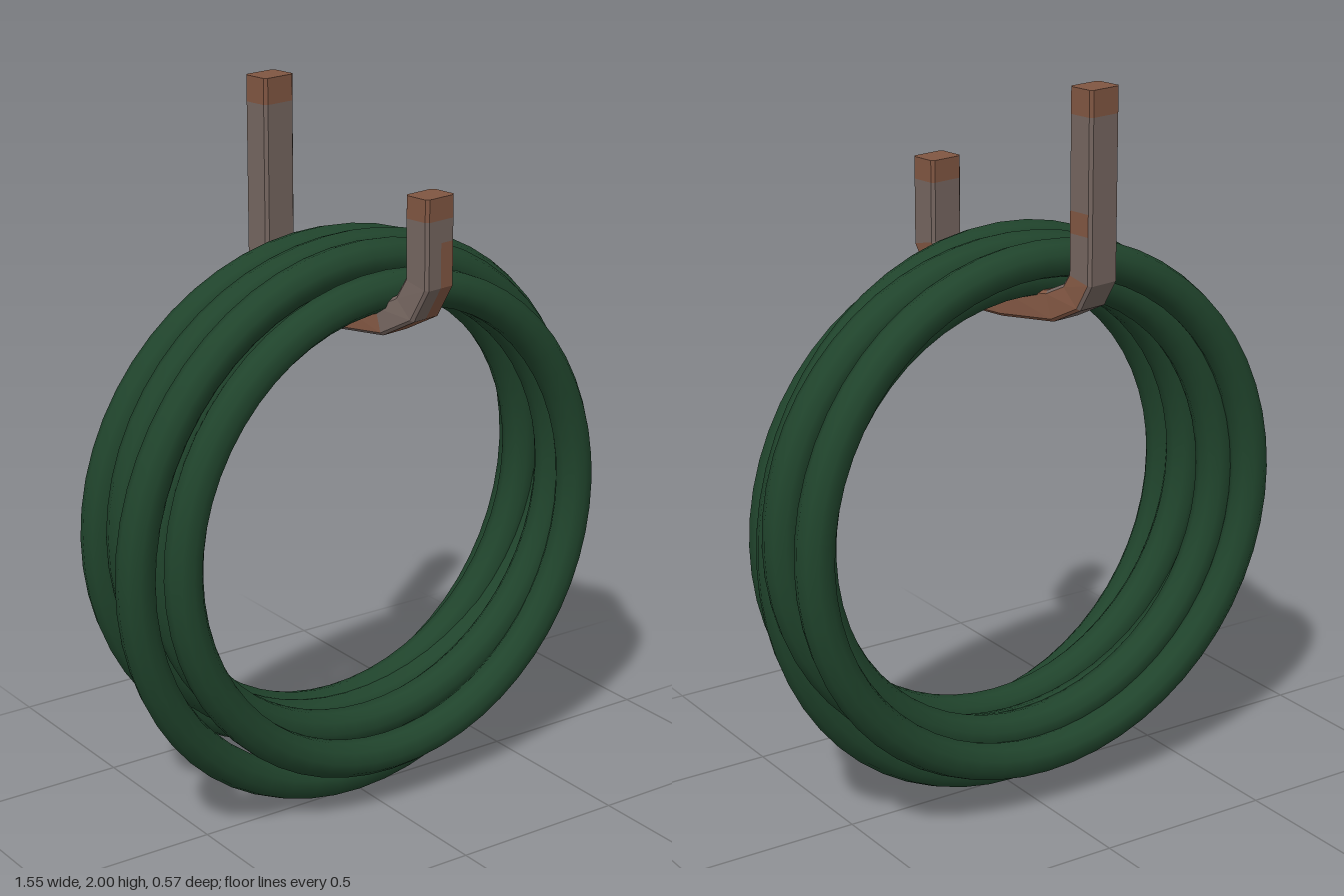
import * as THREE from 'three';

const hoseGreen = new THREE.MeshStandardMaterial({ color: 0x20442c });
hoseGreen.name = 'hose green';
const agedIron = new THREE.MeshStandardMaterial({ color: 0x74655f });
agedIron.name = 'aged iron';
const rust = new THREE.MeshStandardMaterial({ color: 0x805642 });
rust.name = 'rust';

// Closed loop through its left, right, top and bottom extremes; z sways along the loop
class LoopCurve extends THREE.Curve {
  constructor(x, y, z) {
    super();
    Object.assign(this, { x, y, z });
  }
  getPoint(t, target = new THREE.Vector3()) {
    const a = t * Math.PI * 2, c = Math.cos(a), s = Math.sin(a);
    const [x0, x1] = this.x, [y0, y1] = this.y, [l, r, b, top] = this.z;
    return target.set(
      (x0 + x1) / 2 + c * (x1 - x0) / 2,
      (y0 + y1) / 2 + s * (y1 - y0) / 2,
      (l + r + b + top) / 4 + c * (r - l) / 2 + s * (top - b) / 2 + Math.cos(2 * a) * (l + r - top - b) / 4
    );
  }
}

const TUBE = 0.052;
// Outer extents in x and y, then z at left, right, bottom, top
const LOOPS = [
  // outer loops, front to back
  { x: [-0.68, 0.72], y: [0.10, 1.53], z: [0.118, 0.112, 0.118, 0.118] },
  { x: [-0.78, 0.755], y: [0.0, 1.6], z: [0.045, 0.01, 0.0, 0.045] },
  { x: [-0.73, 0.775], y: [0.15, 1.6], z: [-0.08, -0.06, -0.08, -0.055] },
  { x: [-0.75, 0.75], y: [0.10, 1.595], z: [-0.18, -0.18, -0.182, -0.15] },
  // inner loops nested in the gaps
  { x: [-0.685, 0.705], y: [0.16, 1.535], z: [0.03, 0.035, 0.03, 0.03] },
  { x: [-0.685, 0.705], y: [0.16, 1.535], z: [-0.11, -0.11, -0.12, -0.09] },
];

function createHose() {
  const hose = new THREE.Group();
  hose.name = 'coiledHose';
  LOOPS.forEach(({ x, y, z }, i) => {
    const inset = ([lo, hi]) => [lo + TUBE, hi - TUBE];
    const curve = new LoopCurve(inset(x), inset(y), z);
    const loop = new THREE.Mesh(new THREE.TubeGeometry(curve, 56, TUBE, 10, true), hoseGreen);
    loop.name = `hoseLoop${i + 1}`;
    hose.add(loop);
  });
  return hose;
}

// Hook centre line as [z, y], from the back tip under the coil to the front tip
const PATH = [
  [-0.24, 2], [-0.24, 1.93], [-0.24, 1.68], [-0.24, 1.62], [-0.24, 1.5], [-0.215, 1.45], [-0.15, 1.415],
  [0, 1.402], [0.13, 1.408], [0.205, 1.45], [0.24, 1.52], [0.24, 1.63], [0.24, 1.69], [0.24, 1.75],
];
const W = 0.051, H = 0.041, C = 0.008;
// Chamfered bar section: [sideways, outward]
const SECTION = [
  [W, C - H], [W, H - C], [W - C, H], [0, H], [C - W, H],
  [-W, H - C], [-W, C - H], [C - W, -H], [W - C, -H],
];
// Rusted faces of each path segment (section edge numbers)
const ALL = [0, 1, 2, 3, 4, 5, 6, 7, 8];
const RUST = {
  0: ALL, 2: [0], 4: [0, 7], 5: [0, 1, 5, 6, 7], 6: [0, 1, 2, 6, 7, 8], 7: [0, 1, 2, 5, 6, 7, 8],
  8: [0, 1, 2, 3, 8], 9: [0, 1, 2], 10: [1, 2], 12: ALL,
};

function createHook() {
  const yaw = 0.15;
  const side = new THREE.Vector3(Math.cos(yaw), 0, -Math.sin(yaw));
  const ahead = new THREE.Vector3(Math.sin(yaw), 0, Math.cos(yaw));
  const direction = (i) => new THREE.Vector2(PATH[i + 1][0] - PATH[i][0], PATH[i + 1][1] - PATH[i][1]).normalize();
  const last = PATH.length - 1;

  // Mitred section at each path point
  const rings = PATH.map(([z, y], i) => {
    const before = direction(Math.max(i - 1, 0)), after = direction(Math.min(i, last - 1));
    const t = before.clone().add(after).normalize();
    const mitre = 1 / t.dot(after);
    const out = ahead.clone().multiplyScalar(t.y).add(new THREE.Vector3(0, -t.x, 0)).multiplyScalar(mitre);
    return SECTION.map(([a, b]) =>
      new THREE.Vector3(0.35 * z - 0.028, y, z).addScaledVector(side, a).addScaledVector(out, b));
  });

  const triangles = [[], []];
  const n = SECTION.length;
  const add = (m, ...points) => points.forEach((p) => triangles[m].push(p.x, p.y, p.z));
  for (let i = 0; i < last; i++) {
    for (let j = 0; j < n; j++) {
      const k = (j + 1) % n, m = RUST[i]?.includes(j) ? 1 : 0;
      const a = rings[i + 1][j], b = rings[i + 1][k], c = rings[i][k], d = rings[i][j];
      add(m, a, b, c, a, c, d);
    }
  }
  // Rusted tips
  for (let j = 1; j < n - 1; j++) {
    add(1, rings[0][0], rings[0][j], rings[0][j + 1]);
    add(1, rings[last][0], rings[last][j + 1], rings[last][j]);
  }

  const geometry = new THREE.BufferGeometry();
  geometry.setAttribute('position', new THREE.Float32BufferAttribute(triangles.flat(), 3));
  geometry.addGroup(0, triangles[0].length / 3, 0);
  geometry.addGroup(triangles[0].length / 3, triangles[1].length / 3, 1);
  geometry.computeVertexNormals();
  const hook = new THREE.Mesh(geometry, [agedIron, rust]);
  hook.name = 'wallHook';
  return hook;
}

export function createModel() {
  const model = new THREE.Group();
  model.name = 'hoseOnHook';
  model.add(createHose(), createHook());
  return model;
}
